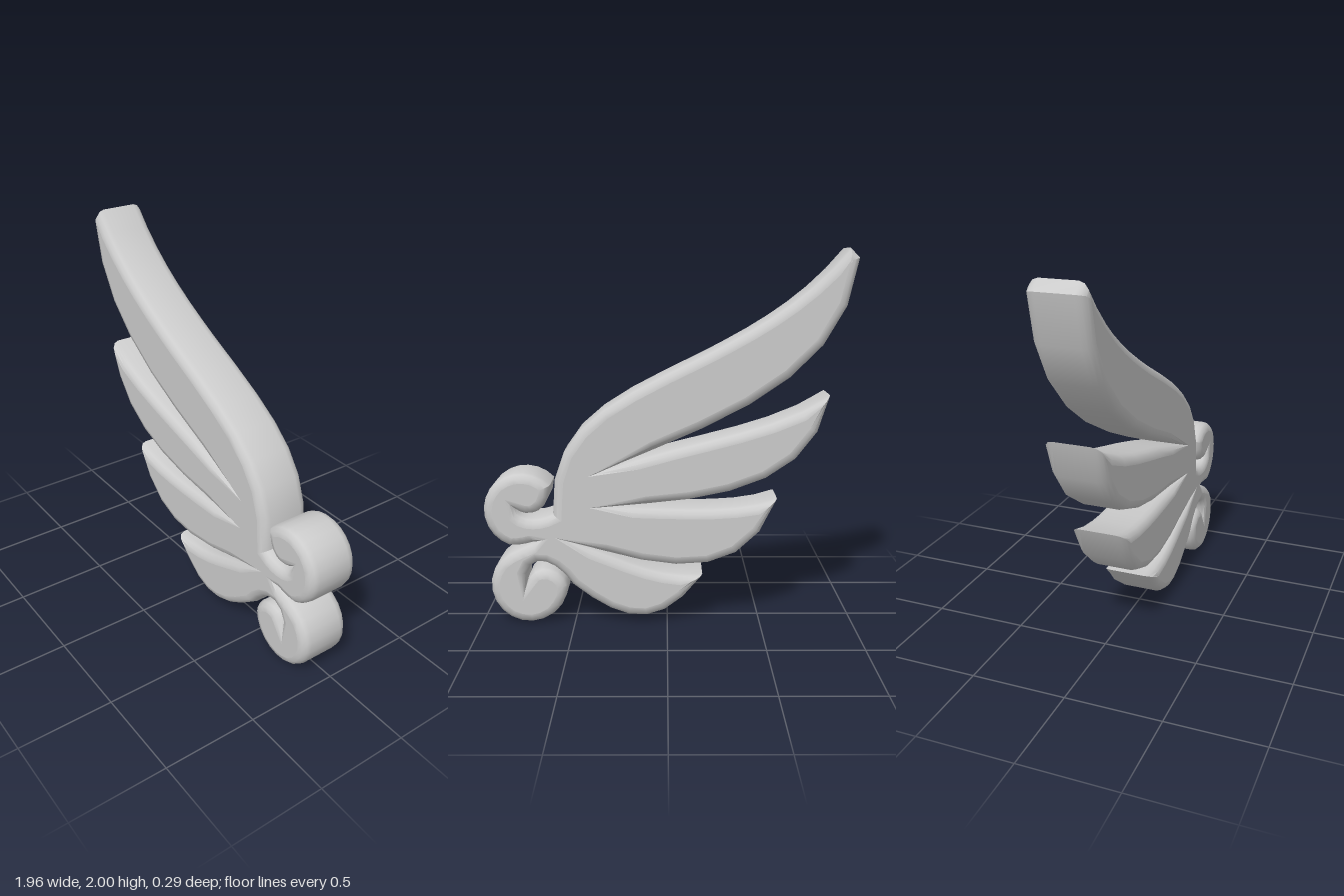
import * as THREE from 'three';
import { toCreasedNormals } from 'three/addons/utils/BufferGeometryUtils.js';

const DEPTH = 0.29;
const BEVEL = 0.05;
const rad = THREE.MathUtils.degToRad;

// Outer arc of a scroll, given by centre, radius and start/end angle (clockwise).
const upperScroll = { x: 0.775, y: 0.627, r: 0.205, from: rad(138), to: rad(-70) };
const lowerScroll = { x: 0.745, y: 0.21, r: 0.207, from: rad(60), to: rad(180) };
const arcStart = ({ x, y, r, from }) => [x + r * Math.cos(from), y + r * Math.sin(from)];
const addArc = (shape, { x, y, r, from, to }) => shape.absarc(x, y, r, from, to, true);

function wingOutline() {
  const s = new THREE.Shape();
  // leading edge of the top feather
  s.moveTo(-0.93, 2);
  s.bezierCurveTo(-0.72, 1.74, -0.47, 1.6, -0.2, 1.46);
  s.bezierCurveTo(0.31, 1.21, 0.63, 1.08, 0.61, 0.61);
  // upper scroll: groove, curl, outer arc, notch
  s.bezierCurveTo(0.68, 0.57, 0.79, 0.57, 0.812, 0.64);
  s.bezierCurveTo(0.77, 0.585, 0.63, 0.59, ...arcStart(upperScroll));
  addArc(s, upperScroll);
  s.quadraticCurveTo(0.775, 0.43, 0.7, 0.457);
  // lower scroll: outer arc, curl, groove
  s.quadraticCurveTo(0.77, 0.43, ...arcStart(lowerScroll));
  addArc(s, lowerScroll);
  s.bezierCurveTo(0.56, 0.32, 0.75, 0.36, 0.765, 0.2);
  s.bezierCurveTo(0.77, 0.41, 0.61, 0.37, 0.51, 0.215);
  // bottom feather: belly, top
  s.bezierCurveTo(0.27, 0.02, 0.05, -0.08, -0.19, 0.267);
  s.bezierCurveTo(0.1, 0.26, 0.2, 0.35, 0.53, 0.462);
  // third feather: belly, top
  s.bezierCurveTo(0.08, 0.31, -0.42, 0.175, -0.585, 0.69);
  s.bezierCurveTo(-0.35, 0.61, -0.05, 0.64, 0.34, 0.65);
  // second feather: belly, top
  s.bezierCurveTo(-0.2, 0.67, -0.78, 0.73, -0.85, 1.245);
  s.bezierCurveTo(-0.52, 1.03, -0.1, 1.01, 0.35, 0.843);
  // belly of the top feather; closing the outline makes its blunt tip
  s.bezierCurveTo(-0.3, 1.11, -0.93, 1.33, -0.98, 1.95);
  return s;
}

// Keep the front and back faces perfectly flat beside the rounded rim.
function flattenCaps(geometry) {
  const p = geometry.attributes.position;
  const n = geometry.attributes.normal;
  for (let i = 0; i < p.count; i += 3) {
    const z = p.getZ(i);
    const flat = [0, 1, 2].every((k) => Math.abs(p.getZ(i + k) - z) < 1e-5);
    if (flat) for (let k = 0; k < 3; k++) n.setXYZ(i + k, 0, 0, Math.sign(z));
  }
  return geometry;
}

export function createModel() {
  const group = new THREE.Group();
  group.name = 'wingOrnament';

  // one solid plate with a rounded rim on both faces
  const solid = new THREE.ExtrudeGeometry(wingOutline(), {
    depth: DEPTH - 2 * BEVEL,
    curveSegments: 7,
    bevelThickness: BEVEL,
    bevelSize: BEVEL,
    bevelOffset: -BEVEL,
    bevelSegments: 3,
  });
  solid.translate(0, 0, BEVEL - DEPTH / 2);

  const wing = new THREE.Mesh(
    flattenCaps(toCreasedNormals(solid, 0.65)),
    new THREE.MeshStandardMaterial({ color: 0xcccccc }),
  );
  wing.name = 'featheredWingWithScrolls';
  group.add(wing);
  return group;
}
